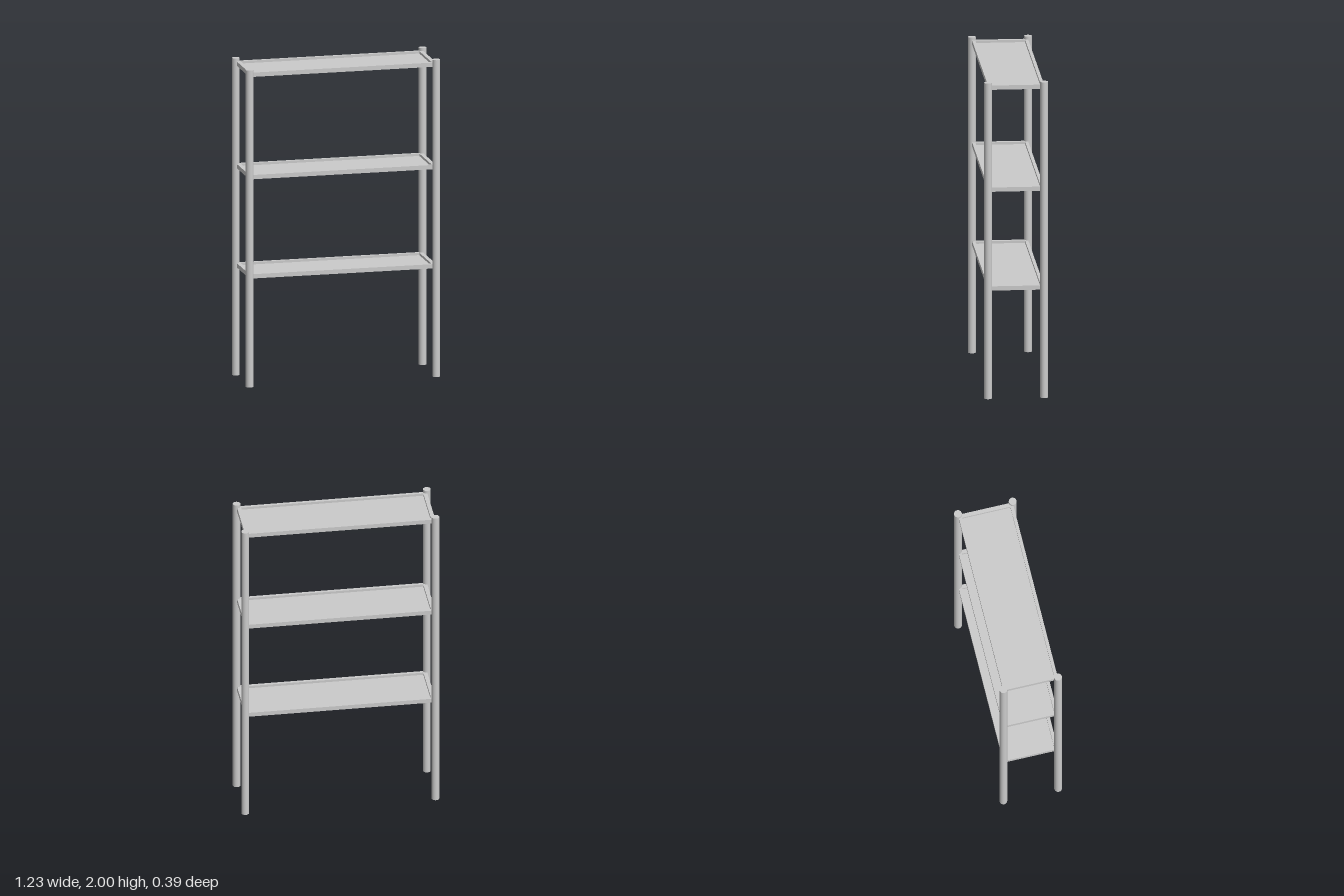
import * as THREE from 'three';

const POST_X = 0.592, POST_Z = 0.173, POST_R = 0.024;
const SHELF_H = 0.027, FLOOR_H = 0.012, RIM_X = 0.025, RIM_Z = 0.02;

const material = new THREE.MeshStandardMaterial({ color: 0xcccccc });

function addMesh(parent, name, geometry, x, y, z) {
  const mesh = new THREE.Mesh(geometry, material);
  mesh.name = name;
  mesh.position.set(x, y, z);
  parent.add(mesh);
}

function rectangle(target, halfX, halfZ) {
  target.moveTo(-halfX, -halfZ);
  target.lineTo(halfX, -halfZ);
  target.lineTo(halfX, halfZ);
  target.lineTo(-halfX, halfZ);
  target.closePath();
  return target;
}

// Shallow tray: flat floor with a raised rim, its base at y = 0
function createShelf() {
  const shelf = new THREE.Group();
  const innerX = POST_X - RIM_X, innerZ = POST_Z - RIM_Z;

  const outline = rectangle(new THREE.Shape(), POST_X, POST_Z);
  outline.holes.push(rectangle(new THREE.Path(), innerX, innerZ));
  const rim = new THREE.ExtrudeGeometry(outline, { depth: SHELF_H, bevelEnabled: false });
  rim.rotateX(-Math.PI / 2);
  addMesh(shelf, 'shelfRim', rim, 0, 0, 0);

  const floor = new THREE.BoxGeometry(innerX * 2, FLOOR_H, innerZ * 2);
  addMesh(shelf, 'shelfFloor', floor, 0, FLOOR_H / 2, 0);
  return shelf;
}

export function createModel() {
  const model = new THREE.Group();
  model.name = 'shelvingUnit';

  // Four round corner posts
  const post = new THREE.CylinderGeometry(POST_R, POST_R, 2, 32);
  for (const [side, sx] of [['Left', 1], ['Right', -1]]) {
    for (const [end, sz] of [['front', 1], ['back', -1]]) {
      addMesh(model, `${end}${side}Post`, post, sx * POST_X, 1, sz * POST_Z);
    }
  }

  // Three tray shelves
  const levels = { lowerShelf: 0.682, middleShelf: 1.308, upperShelf: 1.954 };
  for (const [name, y] of Object.entries(levels)) {
    const shelf = createShelf();
    shelf.name = name;
    shelf.position.y = y;
    model.add(shelf);
  }
  return model;
}
